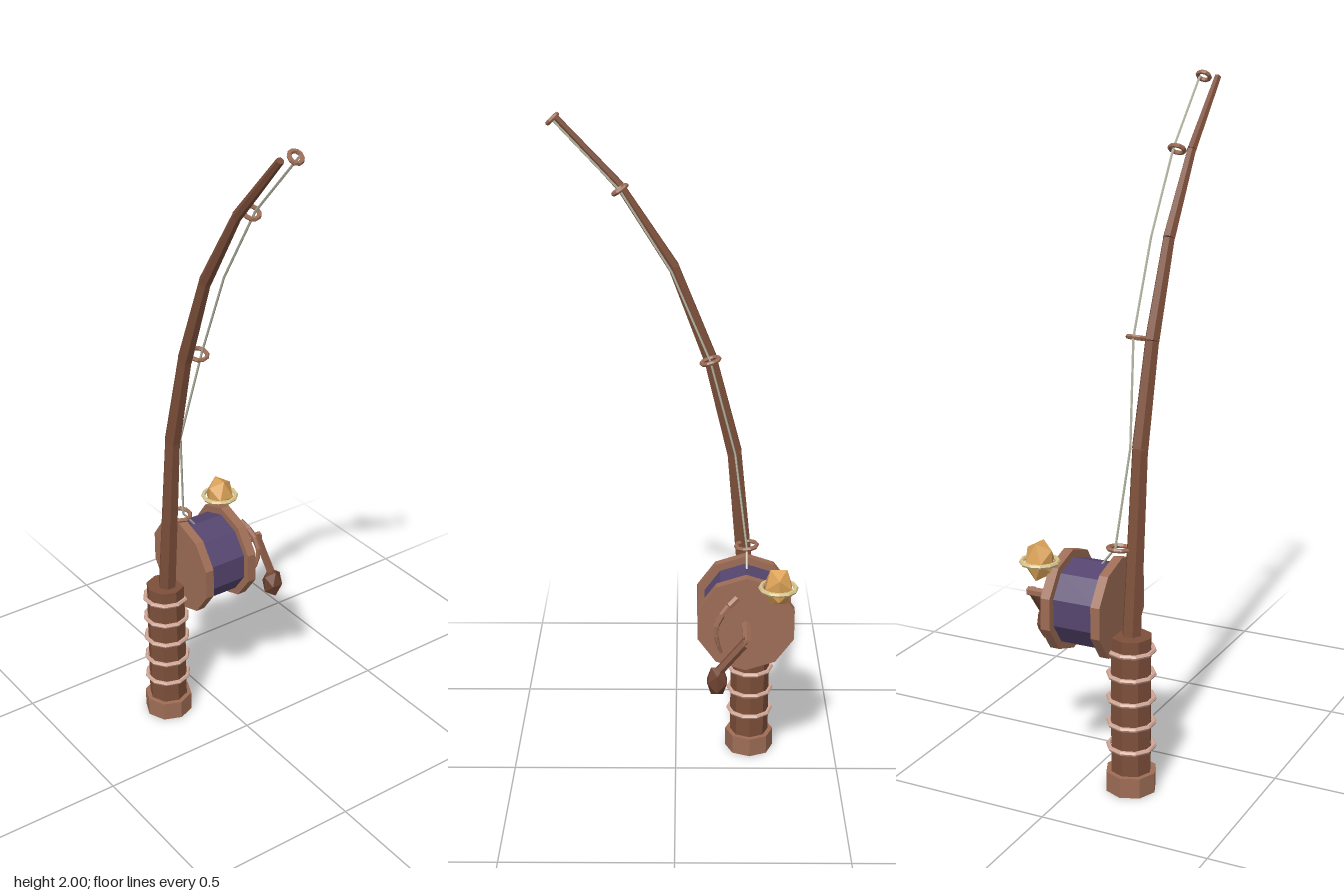
import * as THREE from 'three';

const mat = (color) => new THREE.MeshStandardMaterial({ color, flatShading: true, side: THREE.DoubleSide });
const WOOD = mat(0x7d4f3a), DARK = mat(0x6e4331), LIGHT = mat(0x9e6d56), PURPLE = mat(0x55456f);
const WRAP = mat(0xd2a898), GOLD = mat(0xd9a055), PALE = mat(0xd9c68c), CORD = mat(0xb4b5a2);
const V = (x, y, z) => new THREE.Vector3(x, y, z);

export function createModel() {
  const root = new THREE.Group();
  const add = (name, geometry, material, pos = V(0, 0, 0)) => {
    const m = new THREE.Mesh(geometry, material);
    m.name = name;
    m.position.copy(pos);
    root.add(m);
    return m;
  };
  // tapered bar between two points
  const bar = (name, a, b, ra, rb, sides, material) => {
    const dir = b.clone().sub(a);
    const m = add(name, new THREE.CylinderGeometry(rb, ra, dir.length(), sides), material, a.clone().add(b).multiplyScalar(0.5));
    m.quaternion.setFromUnitVectors(V(0, 1, 0), dir.normalize());
    return m;
  };
  // ring lying flat, optionally tilted about z
  const ring = (name, pos, r, tube, segs, material, tilt = 0) => {
    const g = new THREE.TorusGeometry(r, tube, 6, segs).rotateX(Math.PI / 2);
    add(name, g, material, pos).rotation.z = -tilt;
  };

  // grip with end cap and wrapped cords
  const hx = -0.232, hz = 0.145;
  add('gripCap', new THREE.CylinderGeometry(0.075, 0.075, 0.06, 8), LIGHT, V(hx, 0.03, hz));
  add('grip', new THREE.CylinderGeometry(0.06, 0.06, 0.41, 8), WOOD, V(hx, 0.265, hz));
  for (let i = 0; i < 5; i++) ring('gripWrap', V(hx, 0.135 + i * 0.0735, hz), 0.066, 0.007, 10, WRAP);

  // bent pole made of tapering segments
  const pole = [[-0.227, 0.45], [-0.174, 1.0], [-0.1, 1.29], [0.006, 1.56], [0.155, 1.79], [0.335, 1.983]];
  const radii = [0.029, 0.025, 0.022, 0.0185, 0.0145, 0.0115];
  for (let i = 0; i < 5; i++) {
    const a = V(...pole[i], 0.143), b = V(...pole[i + 1], 0.143);
    bar('poleSegment', a, b, radii[i], radii[i + 1] - 0.001, 6, WOOD);
  }

  // line guides
  [[-0.213, 0.715, 0.032, 0.1], [-0.1, 1.295, 0.027, 0.3], [0.155, 1.79, 0.022, 0.6], [0.337, 1.984, 0.018, 0.75]]
    .forEach(([x, y, r, tilt]) => ring('lineGuide', V(x, y, 0.098), r, 0.0065, 10, LIGHT, tilt));

  // fishing line, from the spool up to the tip
  const line = [[-0.213, 0.655, 0.04], [-0.213, 0.715, 0.086], [-0.176, 1.0, 0.114], [-0.1, 1.295, 0.086],
    [0.012, 1.56, 0.086], [0.155, 1.79, 0.086], [0.337, 1.984, 0.086]].map((p) => V(...p));
  for (let i = 0; i < line.length - 1; i++) bar('fishingLine', line[i], line[i + 1], 0.0035, 0.0035, 5, CORD);

  // reel: spool between two ten-sided flanges
  const rx = -0.208, ry = 0.537;
  const disc = (name, r, z0, z1, material) =>
    add(name, new THREE.CylinderGeometry(r, r, z1 - z0, 10).rotateX(Math.PI / 2), material, V(rx, ry, (z0 + z1) / 2));
  disc('spool', 0.127, -0.055, 0.08, PURPLE);
  disc('frontFlange', 0.15, 0.077, 0.105, LIGHT);
  disc('backFlange', 0.15, -0.08, -0.051, LIGHT);

  // crank: axle, arm and knob
  bar('crankAxle', V(rx, ry, -0.07), V(rx, ry, -0.2), 0.014, 0.014, 6, LIGHT);
  bar('crankArm', V(rx, ry + 0.004, -0.187), V(-0.122, 0.435, -0.187), 0.014, 0.014, 6, WOOD);
  add('crankKnob', new THREE.IcosahedronGeometry(0.034, 0), DARK, V(-0.122, 0.41, -0.187)).scale.y = 1.5;

  // curved hook behind the reel
  const hook = new THREE.CatmullRomCurve3([V(-0.18, 0.635, -0.103), V(-0.145, 0.605, -0.122),
    V(-0.12, 0.56, -0.129), V(-0.122, 0.51, -0.126), V(-0.135, 0.465, -0.114)]).getPoints(6);
  for (let i = 0; i < 6; i++) bar('hook', hook[i], hook[i + 1], 0.012 - i * 0.0012, 0.0108 - i * 0.0012, 6, LIGHT);

  // faceted gem bobber with its ring
  add('bobber', new THREE.IcosahedronGeometry(0.046, 0), GOLD, V(-0.299, 0.675, -0.109)).scale.y = 1.4;
  ring('bobberRing', V(-0.299, 0.672, -0.109), 0.052, 0.007, 12, PALE);

  return root;
}
